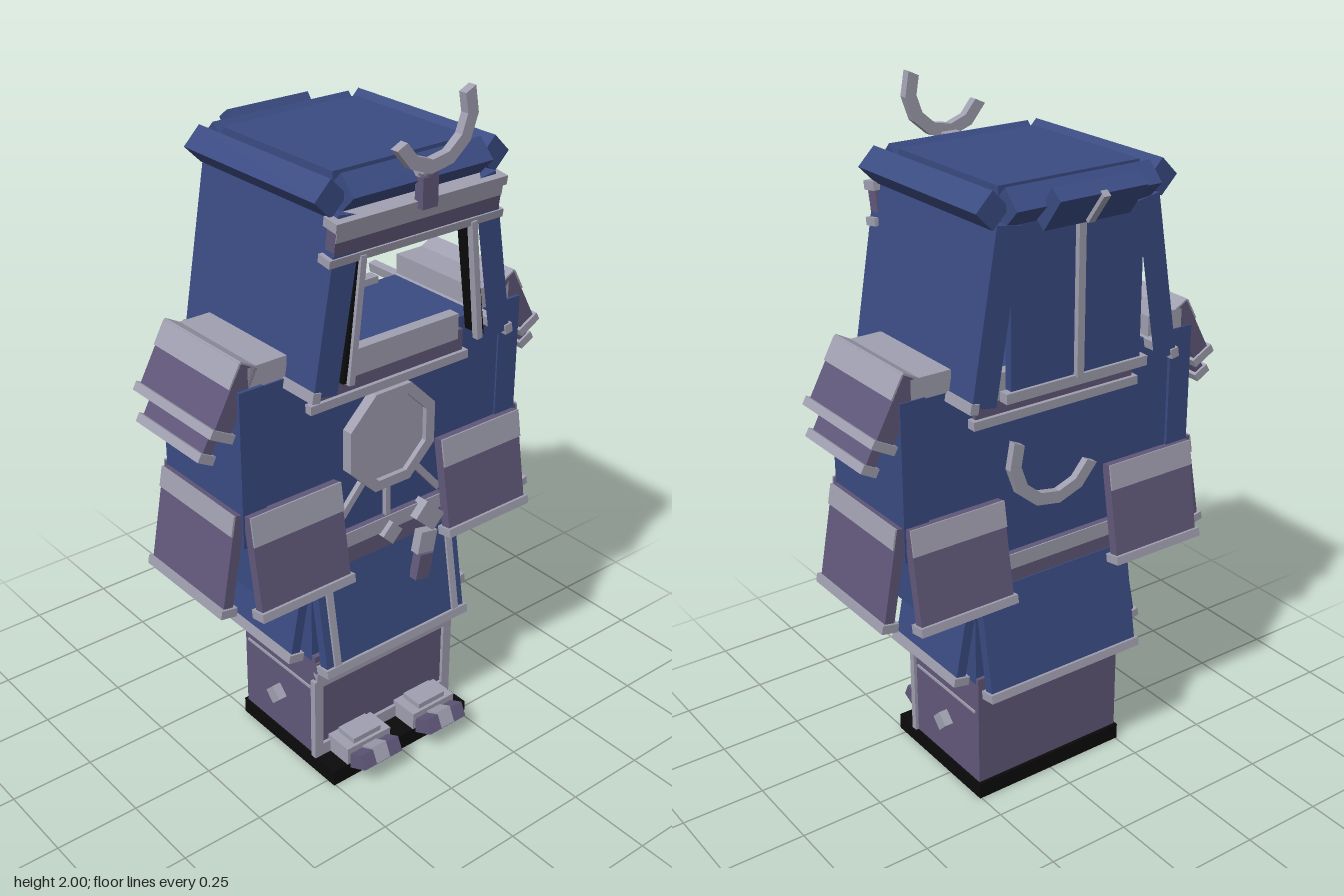
import * as THREE from 'three';

const material = (name, color) => Object.assign(new THREE.MeshStandardMaterial({ color }), { name });

export function createModel() {
  const model = new THREE.Group();
  model.name = 'armouredFigure';
  const navy = material('navy', 0x3a4b82);
  const grey = material('steelGrey', 0xa09fb0);
  const purple = material('dullPurple', 0x61587a);
  const black = material('black', 0x0b0b0c);

  const add = (name, geometry, mat, pos, rot = [0, 0, 0], parent = model) => {
    const mesh = new THREE.Mesh(geometry, mat);
    mesh.name = name;
    mesh.position.set(...pos);
    mesh.rotation.set(...rot);
    parent.add(mesh);
    return mesh;
  };
  const box = (name, mat, size, pos, rot, parent) =>
    add(name, new THREE.BoxGeometry(...size), mat, pos, rot, parent);

  // Hanging armour plate, hinged at its top edge and flaring outward, with a trimmed hem
  function plate(name, mat, [w, h, t], pos, yaw, tilt, patch = 0) {
    const g = new THREE.Group();
    g.name = name;
    g.position.set(...pos);
    g.rotation.set(-tilt, yaw, 0, 'YXZ');
    box(name + 'Panel', mat, [w, h, t], [0, -h / 2, 0], undefined, g);
    box(name + 'Hem', grey, [w + 0.015, 0.025, t + 0.02], [0, -h + 0.012, 0], undefined, g);
    if (patch) box(name + 'UpperBand', grey, [w, h * patch, 0.006], [0, -h * patch / 2, t / 2 + 0.002], undefined, g);
    model.add(g);
    return g;
  }

  // Open crescent with faceted sides
  function crescent(name, outer, inner, pos) {
    const shape = new THREE.Shape();
    const n = 6, a0 = Math.PI - (-0.44), a1 = 2 * Math.PI + 0.44;
    const pts = [];
    for (let i = 0; i <= n; i++) {
      const a = a0 + (a1 - a0) * i / n;
      pts.push(new THREE.Vector2(Math.cos(a) * outer, Math.sin(a) * outer));
    }
    for (let i = n; i >= 0; i--) {
      const a = a0 + (a1 - a0) * i / n;
      pts.push(new THREE.Vector2(Math.cos(a) * inner, Math.sin(a) * inner));
    }
    // keep the two arms below the horizontal centre line plus short raised tips
    shape.setFromPoints(pts.map(p => new THREE.Vector2(p.x, p.y)));
    add(name, new THREE.ExtrudeGeometry(shape, { depth: 0.025, bevelEnabled: false }), grey, pos);
  }

  // Sole, legs and feet
  box('sole', black, [0.51, 0.05, 0.435], [0, 0.025, 0.062]);
  box('legs', purple, [0.5, 0.35, 0.335], [0, 0.225, 0.022]);
  box('shinBand', grey, [0.5, 0.05, 0.02], [0, 0.32, 0.19]);
  box('shinRim', purple, [0.5, 0.04, 0.024], [0, 0.36, 0.185]);
  box('shinLowerBand', grey, [0.46, 0.04, 0.02], [0, 0.07, 0.19]);
  for (const s of [-1, 1]) {
    box('shinEdge', grey, [0.03, 0.27, 0.02], [s * 0.245, 0.185, 0.19]);
    box('legSeam', grey, [0.006, 0.008, 0.3], [s * 0.251, 0.285, 0.02]);
    box('legStud', grey, [0.03, 0.045, 0.045], [s * 0.262, 0.18, 0.02], [Math.PI / 4, 0, 0]);
    box('foot', grey, [0.16, 0.055, 0.09], [s * 0.125, 0.078, 0.235]);
    box('footCap', grey, [0.1, 0.02, 0.07], [s * 0.125, 0.112, 0.235]);
    box('toe', purple, [0.14, 0.045, 0.08], [s * 0.125, 0.07, 0.3], [-0.45, 0, 0]);
    box('toeBand', grey, [0.05, 0.05, 0.05], [s * 0.125, 0.08, 0.312], [-0.45, 0, 0]);
  }

  // Skirt
  box('skirtCore', navy, [0.5, 0.32, 0.31], [0, 0.54, 0.02]);
  const front = plate('skirtFront', navy, [0.51, 0.325, 0.03], [0, 0.69, 0.185], 0, 0.17);
  for (const s of [-1, 1]) {
    box('skirtEdge', grey, [0.022, 0.3, 0.045], [s * 0.22, -0.15, 0], undefined, front);
    plate('skirtSide', navy, [0.31, 0.28, 0.03], [s * 0.255, 0.68, 0.015], s * Math.PI / 2, 0.19);
  }
  plate('skirtBack', navy, [0.51, 0.325, 0.03], [0, 0.69, -0.155], Math.PI, 0.17);

  // Torso, arms and belt
  box('torso', navy, [0.86, 0.62, 0.335], [0, 0.99, 0.02]);
  for (const s of [-1, 1]) {
    box('arm', navy, [0.075, 0.45, 0.35], [s * 0.443, 1.08, 0.018]);
  }
  for (const [z, side] of [[0.19, 1], [-0.15, -1]]) {
    box('belt', purple, [0.4, 0.1, 0.03], [0, 0.73, z]);
    box('beltUpperBand', grey, [0.4, 0.045, 0.006], [0, 0.757, z + side * 0.016]);
  }
  box('beltStud', grey, [0.05, 0.05, 0.03], [0, 0.73, 0.21], [0, 0, Math.PI / 4]);
  box('beltKnot', grey, [0.09, 0.06, 0.04], [0.13, 0.74, 0.215], [0, 0, -0.75]);
  box('sashUpper', grey, [0.06, 0.07, 0.03], [0.118, 0.66, 0.225], [0, 0, -0.2]);
  box('sashTail', purple, [0.05, 0.08, 0.03], [0.1, 0.59, 0.235], [0, 0, -0.2]);

  // Chest medallion with cords
  const disc = (name, r, depth, z) => add(name,
    new THREE.CylinderGeometry(r, r, depth, 8, 1, false, Math.PI / 8), grey, [0, 1.03, z], [Math.PI / 2, 0, 0]);
  disc('medallion', 0.13, 0.02, 0.195);
  const rim = new THREE.Shape(), hole = new THREE.Path();
  const octagon = r => Array.from({ length: 8 }, (_, i) =>
    new THREE.Vector2(Math.cos((i + 0.5) * Math.PI / 4) * r, Math.sin((i + 0.5) * Math.PI / 4) * r));
  rim.setFromPoints(octagon(0.16));
  rim.holes.push(hole.setFromPoints(octagon(0.127)));
  add('medallionRim', new THREE.ExtrudeGeometry(rim, { depth: 0.035, bevelEnabled: false }), grey, [0, 1.03, 0.185]);
  box('cord', grey, [0.016, 0.12, 0.015], [0, 0.83, 0.195]);
  for (const s of [-1, 1]) box('cord', grey, [0.02, 0.15, 0.015], [s * 0.14, 0.855, 0.195], [0, 0, s * 0.72]);

  // Crescent on the back
  crescent('backCrescent', 0.155, 0.118, [0, 1.045, -0.17]);

  // Hip plates and shoulder guards
  for (const s of [-1, 1]) {
    const out = s * Math.PI / 2;
    plate('hipFront', purple, [0.295, 0.295, 0.03], [s * 0.328, 0.955, 0.2], 0, 0.17, 0.28);
    plate('hipBack', purple, [0.295, 0.295, 0.03], [s * 0.328, 0.955, -0.16], Math.PI, 0.17, 0.25);
    plate('hipSide', purple, [0.335, 0.295, 0.03], [s * 0.483, 0.955, 0.017], out, 0.18, 0.2);
    box('shoulderTop', grey, [0.12, 0.06, 0.335], [s * 0.385, 1.33, 0.015]);
    plate('shoulderGuard', purple, [0.335, 0.2, 0.055], [s * 0.44, 1.365, 0.015], out, 0.5, 0.35);
    plate('shoulderLowerGuard', purple, [0.27, 0.21, 0.03], [s * 0.462, 1.305, 0.013], out, 0.5);
    box('shoulderCap', grey, [0.055, 0.006, 0.335], [s * 0.441, 1.368, 0.015], [0, 0, s * 0.5]);
  }

  // Neck guard, front and back
  for (const [z, side] of [[0.185, 1], [-0.15, -1]]) {
    box('neckGuard', purple, [0.52, 0.09, 0.03], [0, 1.225, z]);
    box('neckGuardUpper', grey, [0.48, 0.075, 0.036], [0, 1.283, z]);
    box('neckGuardHem', grey, [0.545, 0.025, 0.045], [0, 1.195, z + side * 0.004]);
  }

  // Helmet shell: side walls are open toward the inside
  for (const s of [-1, 1]) {
    const wall = new THREE.BoxGeometry(0.075, 0.465, 0.56);
    const inner = s > 0 ? 1 : 0;
    wall.setIndex([...wall.index.array].filter((_, i) => Math.floor(i / 6) !== inner));
    wall.clearGroups();
    const lean = s * 0.172;
    add('helmetSide', wall, navy, [s * 0.257, 1.51, 0.022], [0, 0, lean]);
    box('helmetSideHem', grey, [0.025, 0.028, 0.57], [s * 0.328, 1.288, 0.022], [0, 0, lean]);
    box('faceEdge', grey, [0.018, 0.34, 0.02], [s * 0.2, 1.46, 0.3], [0, 0, s * 0.11]);
    box('faceEdgeInner', black, [0.012, 0.33, 0.06], [s * 0.212, 1.46, 0.27], [0, 0, s * 0.14]);
    box('sideEave', navy, [0.07, 0.07, 0.54], [s * 0.264, 1.783, 0.015], [0, 0, Math.PI / 4]);
  }
  box('helmetBack', navy, [0.42, 0.46, 0.025], [0, 1.52, -0.24]);
  box('helmetBackRib', grey, [0.022, 0.44, 0.02], [0, 1.52, -0.258]);
  box('helmetBackHem', grey, [0.46, 0.028, 0.03], [0, 1.29, -0.247]);
  box('helmetTop', navy, [0.44, 0.1, 0.45], [0, 1.778, 0.01]);
  box('frontEave', navy, [0.45, 0.07, 0.07], [0, 1.785, 0.272], [Math.PI / 4, 0, 0]);
  box('backEave', navy, [0.45, 0.07, 0.07], [0, 1.783, -0.25], [Math.PI / 4, 0, 0]);
  box('backFlap', navy, [0.27, 0.11, 0.045], [0, 1.775, -0.3], [-0.65, 0, 0]);
  box('backKnob', grey, [0.022, 0.1, 0.02], [0, 1.765, -0.322], [-0.65, 0, 0]);

  // Brow band and crest
  const brow = new THREE.Group();
  brow.name = 'browBand';
  brow.position.set(0, 1.68, 0.29);
  brow.rotation.x = 0.15;
  model.add(brow);
  box('browPanel', purple, [0.54, 0.1, 0.035], [0, 0, 0], undefined, brow);
  box('browUpperTrim', grey, [0.555, 0.025, 0.05], [0, 0.045, 0], undefined, brow);
  box('browLowerTrim', grey, [0.57, 0.022, 0.045], [0, -0.05, 0], undefined, brow);
  box('browStripe', grey, [0.54, 0.03, 0.008], [0, 0.018, 0.016], undefined, brow);
  box('crestHolder', purple, [0.05, 0.09, 0.03], [0, 1.76, 0.325]);
  box('crestHolderCap', grey, [0.05, 0.03, 0.06], [0, 1.81, 0.31]);
  crescent('helmetCrest', 0.135, 0.1, [0, 1.943, 0.33]);

  return model;
}
